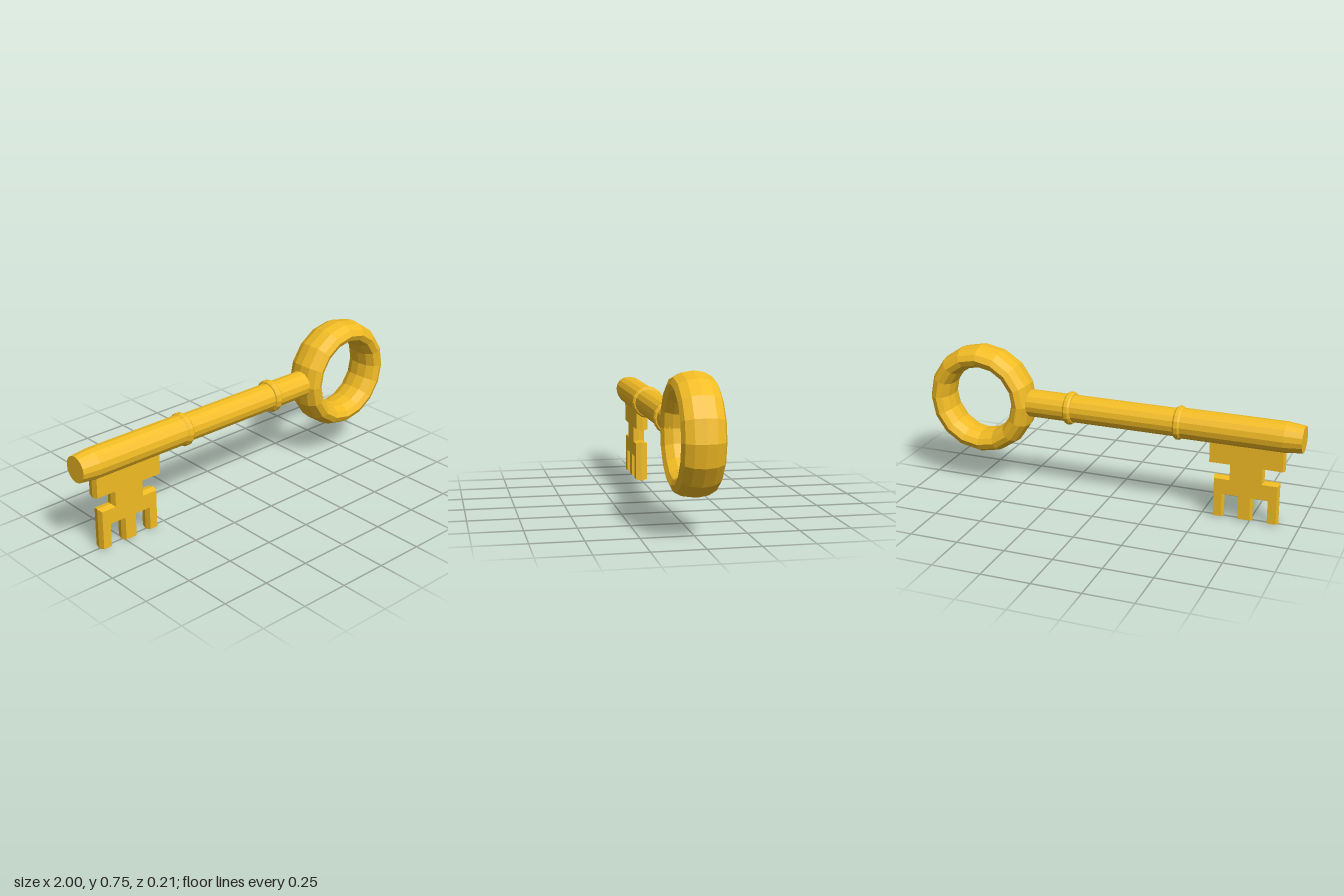
import * as THREE from 'three';

const gold = new THREE.MeshStandardMaterial({ color: 0xf2bc24, flatShading: true });

function part(name, geometry, x, y) {
  const mesh = new THREE.Mesh(geometry, gold);
  mesh.name = name;
  mesh.position.set(x, y, 0);
  return mesh;
}

// Turned part along x, from [x, radius] pairs
function turned(profile) {
  const points = profile.map(([x, r]) => new THREE.Vector2(r, x));
  return new THREE.LatheGeometry(points, 16).rotateZ(-Math.PI / 2);
}

export function createModel() {
  const key = new THREE.Group();
  key.name = 'key';
  const shaftY = 0.465;

  // Ring handle with an oval section, deeper than it is wide
  key.add(part('bow', new THREE.TorusGeometry(0.232, 0.058, 12, 16).scale(1, 1, 1.776), 0.708, 0.459));

  // Shaft with a tapered tip and a thicker front half
  key.add(part('shaft', turned([
    [-1, 0], [-1, 0.067], [-0.91, 0.077], [-0.37, 0.077], [-0.37, 0.071], [0.52, 0.071], [0.52, 0],
  ]), 0, shaftY));

  // Collars
  for (const x of [-0.372, 0.213]) {
    key.add(part('collar', turned([
      [-0.021, 0.068], [-0.018, 0.078], [-0.009, 0.085], [0.009, 0.085], [0.018, 0.078], [0.021, 0.068],
    ]), x, shaftY));
  }

  // Toothed bit: flange, neck and three teeth, with slightly ridged edges
  const outline = [
    [-0.915, 0.43], [-0.915, 0.285], [-0.813, 0.285], [-0.813, 0.216], [-0.893, 0.216],
    [-0.893, 0], [-0.834, 0], [-0.834, 0.122], [-0.76, 0.122], [-0.76, 0],
    [-0.685, 0], [-0.685, 0.122], [-0.613, 0.122], [-0.613, 0], [-0.557, 0],
    [-0.557, 0.216], [-0.637, 0.216], [-0.637, 0.285], [-0.53, 0.285], [-0.53, 0.43],
  ].map(([x, y]) => new THREE.Vector2(x, y));
  const bit = new THREE.ExtrudeGeometry(new THREE.Shape(outline), {
    depth: 0.001, bevelEnabled: true, bevelSegments: 1,
    bevelThickness: 0.0305, bevelSize: 0.007, bevelOffset: -0.007,
  }).translate(0, 0, -0.0005);
  key.add(part('bit', bit, 0, 0));

  return key;
}
